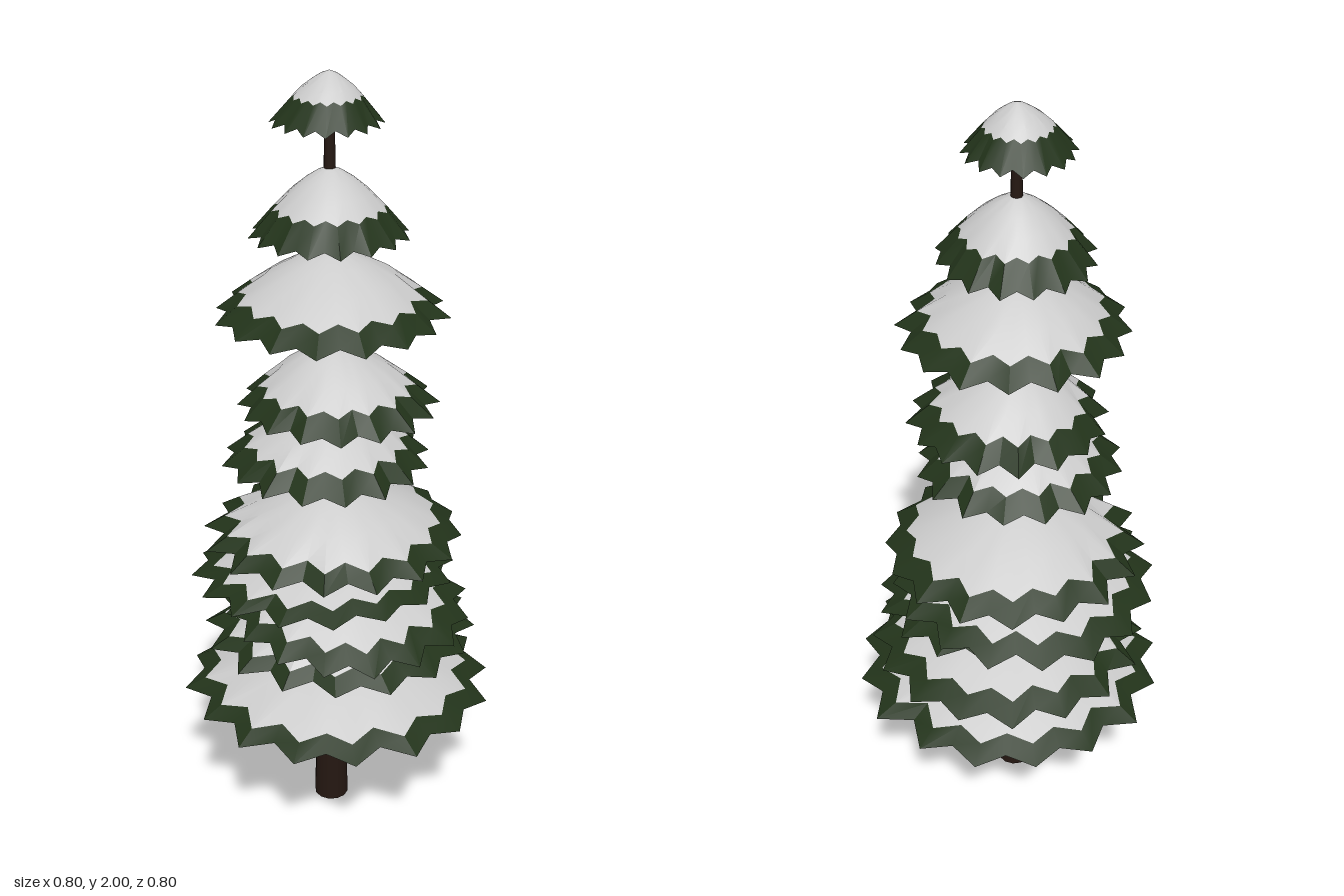
import * as THREE from 'three';
import { toCreasedNormals } from 'three/addons/utils/BufferGeometryUtils.js';

const SPIKES = 16, SEG = SPIKES * 2;
const AXIS_X = -0.02; // trunk position

const snowMat = new THREE.MeshStandardMaterial({ color: 0xcccccc });
const greenMat = new THREE.MeshStandardMaterial({ color: 0x22331a });
const barkMat = new THREE.MeshStandardMaterial({ color: 0x241711 });

// small repeatable variation in -1..1
const vary = (n) => {
  const s = Math.sin(n * 127.1 + 11.7) * 43758.5453;
  return (s - Math.floor(s)) * 2 - 1;
};

// Point on a pleated canopy: t runs from apex (0) to rim (1), i counts around the ring
function canopyPoint(tier, t, i, lower) {
  const k = i % SEG;
  const a = tier.phase + (k / SEG) * Math.PI * 2;
  const pleat = THREE.MathUtils.clamp((t - 0.3) / 0.5, 0, 1);
  const valley = k % 2;
  const n = vary(k + tier.seed * 40);
  const r = tier.r * t * (1 - pleat * (valley ? 0.14 + 0.03 * n : 0.02 + 0.02 * n));
  const x = THREE.MathUtils.lerp(AXIS_X, tier.x, t) + r * Math.cos(a);
  const z = tier.z * t + r * Math.sin(a);
  const drop = (tier.top - tier.rim) * Math.pow(t, 1.4);
  const y = tier.top - drop + tier.tilt * z + pleat * (valley ? 0.012 : 0)
    - (lower ? 0.02 * (1 - t) : 0);
  return [x, y, z];
}

// Adds the surface between successive rows of t
function addSheet(out, tier, rows, lower) {
  for (let j = 0; j < rows.length - 1; j++) {
    for (let i = 0; i < SEG; i++) {
      const p = (t, n) => canopyPoint(tier, t, n, lower);
      const a = p(rows[j], i), b = p(rows[j], i + 1);
      const c = p(rows[j + 1], i), d = p(rows[j + 1], i + 1);
      const tris = rows[j] === 0 ? [[a, d, c]] : [[a, d, c], [a, b, d]];
      for (const [u, v, w] of tris) out.push(...u, ...(lower ? w : v), ...(lower ? v : w));
    }
  }
}

function sheetMesh(name, positions, material) {
  const g = new THREE.BufferGeometry();
  g.setAttribute('position', new THREE.Float32BufferAttribute(positions, 3));
  const mesh = new THREE.Mesh(toCreasedNormals(g, 0.4), material);
  mesh.name = name;
  return mesh;
}

function makeTier(tier) {
  const group = new THREE.Group();
  const edge = 1 - Math.min(0.38, 0.056 / tier.r); // where the snow stops
  const snow = [], green = [];
  addSheet(snow, tier, [0, 0.15, 0.3, (0.3 + edge) / 2, edge], false);
  addSheet(green, tier, [edge, 1], false);
  addSheet(green, tier, [0, 0.3, 0.65, 1], true);
  group.add(sheetMesh('snow', snow, snowMat), sheetMesh('needles', green, greenMat));
  return group;
}

export function createModel() {
  const tree = new THREE.Group();
  tree.name = 'snowyFir';

  // tapering trunk
  const trunk = new THREE.Mesh(new THREE.CylinderGeometry(0.011, 0.045, 1.95, 12, 6), barkMat);
  trunk.position.set(AXIS_X, 0.975, 0);
  trunk.name = 'trunk';
  tree.add(trunk);

  // canopies, bottom to top: apex y, rim y, radius, rim centre x and z, tilt along z
  const tiers = [
    [0.52, 0.365, 0.412, 0, 0, 0.01],
    [0.66, 0.51, 0.36, 0.02, -0.04, 0],
    [0.75, 0.615, 0.325, 0.015, 0.02, -0.1],
    [0.82, 0.695, 0.348, -0.025, -0.035, 0.085],
    [0.96, 0.8, 0.338, 0, -0.03, 0],
    [1.19, 1.03, 0.266, -0.03, 0, 0],
    [1.34, 1.175, 0.252, 0, 0, 0],
    [1.58, 1.42, 0.29, -0.02, 0.01, 0],
    [1.78, 1.615, 0.195, -0.022, 0.005, 0.02],
    [2.0, 1.88, 0.134, -0.027, 0, 0],
  ];
  tiers.forEach(([top, rim, r, x, z, tilt], n) => {
    const phase = THREE.MathUtils.degToRad(14 + n * 8.3);
    const tier = makeTier({ top, rim, r, x, z, tilt, phase, seed: n });
    tier.name = `canopy${n + 1}`;
    tree.add(tier);
  });
  return tree;
}
